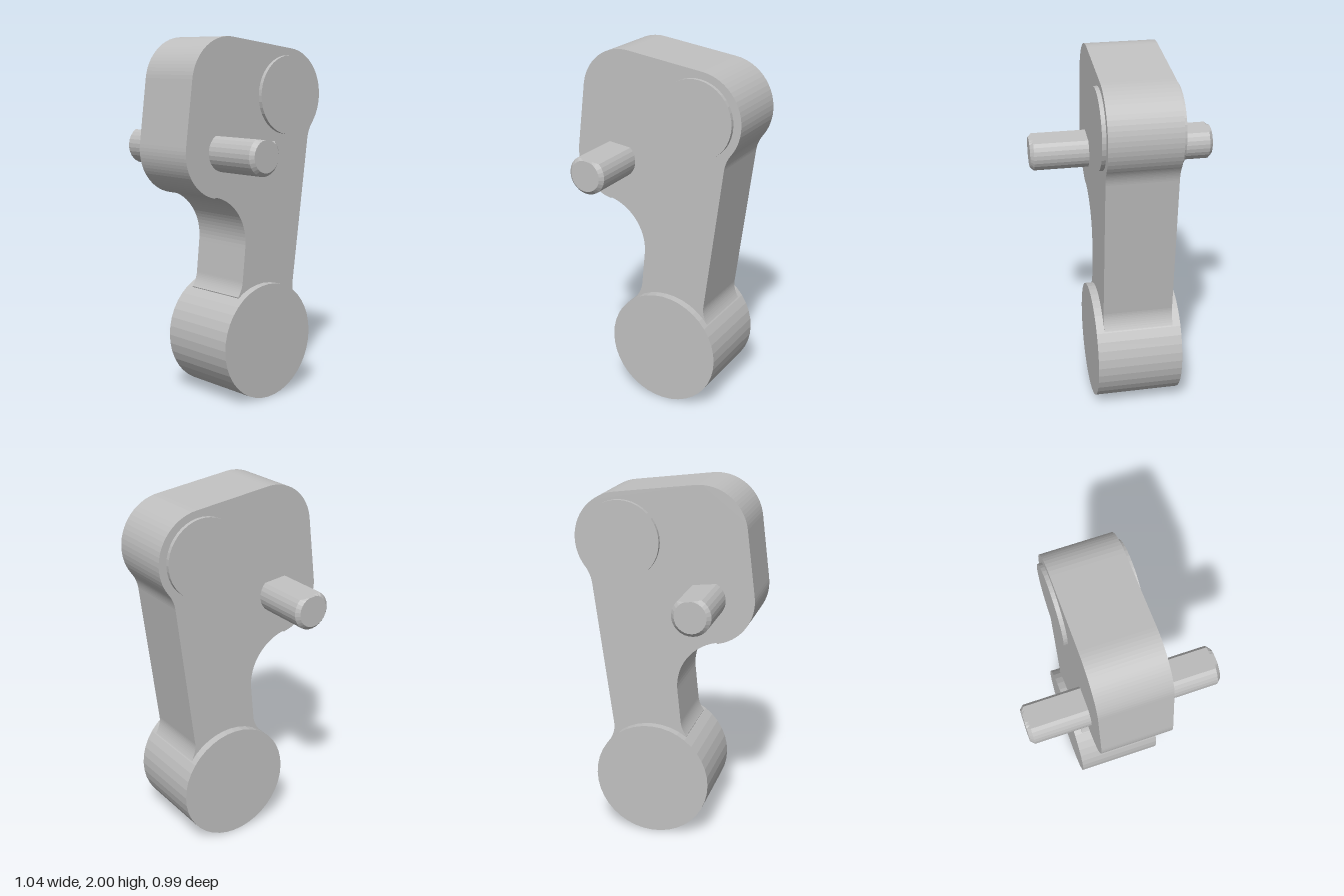
import * as THREE from 'three';

export function createModel() {
  const group = new THREE.Group();
  const grey = new THREE.MeshStandardMaterial({ color: 0xc0c0c0, flatShading: true });
  grey.name = 'plainGrey';

  const add = (name, geometry, y = 0, z = 0) => {
    const mesh = new THREE.Mesh(geometry, grey);
    mesh.name = name;
    mesh.position.set(0, y, z);
    group.add(mesh);
  };

  // Lever plate: side profile drawn as (z, y), extruded across x
  const s = new THREE.Shape();
  s.moveTo(-0.2, 0.35);
  s.lineTo(0.08, 0.45);
  s.lineTo(0.13, 0.595);
  s.quadraticCurveTo(0.1, 0.635, 0.096, 0.68);
  s.absarc(0.35, 0.893, 0.274, Math.PI + 0.12, 1.775, true); // hollow under the head
  s.absarc(0.245, 1.4, 0.25, 1.775 - Math.PI, 0.13, false); // lower front corner
  s.absarc(0.2, 1.75, 0.25, 0.13, Math.PI / 2 + 0.124, false); // upper front corner
  s.absarc(-0.238, 1.685, 0.257, Math.PI / 2 + 0.124, Math.PI + 0.647, false); // upper rear lobe
  s.quadraticCurveTo(-0.411, 1.49, -0.403, 1.44);
  s.lineTo(-0.293, 0.62);
  s.quadraticCurveTo(-0.288, 0.57, -0.322, 0.515);
  const width = 0.386;
  const plate = new THREE.ExtrudeGeometry(s, { depth: width, bevelEnabled: false, curveSegments: 10 });
  plate.translate(0, 0, -width / 2);
  plate.rotateY(-Math.PI / 2);
  add('leverPlate', plate);

  // Round bosses lying across x
  const disc = (r, w) => new THREE.CylinderGeometry(r, r, w, 40).rotateZ(Math.PI / 2);
  add('lowerRoller', disc(0.325, 0.474), 0.325, -0.06);
  add('upperBoss', disc(0.216, 0.43), 1.687, -0.235);

  // Cross pin: chamfered rod with a flat cut along its upper side
  const profile = [[0, -0.518], [0.085, -0.518], [0.105, -0.498], [0.105, 0.498], [0.085, 0.518], [0, 0.518]];
  const pin = new THREE.LatheGeometry(profile.map(([r, h]) => new THREE.Vector2(r, h)), 28);
  const p = pin.attributes.position;
  for (let i = 0; i < p.count; i++) p.setZ(i, Math.min(p.getZ(i), 0.082));
  pin.rotateZ(Math.PI / 2);
  pin.rotateX(-Math.PI / 2 - 0.124);
  add('crossPin', pin, 1.397, 0.235);

  return group;
}
